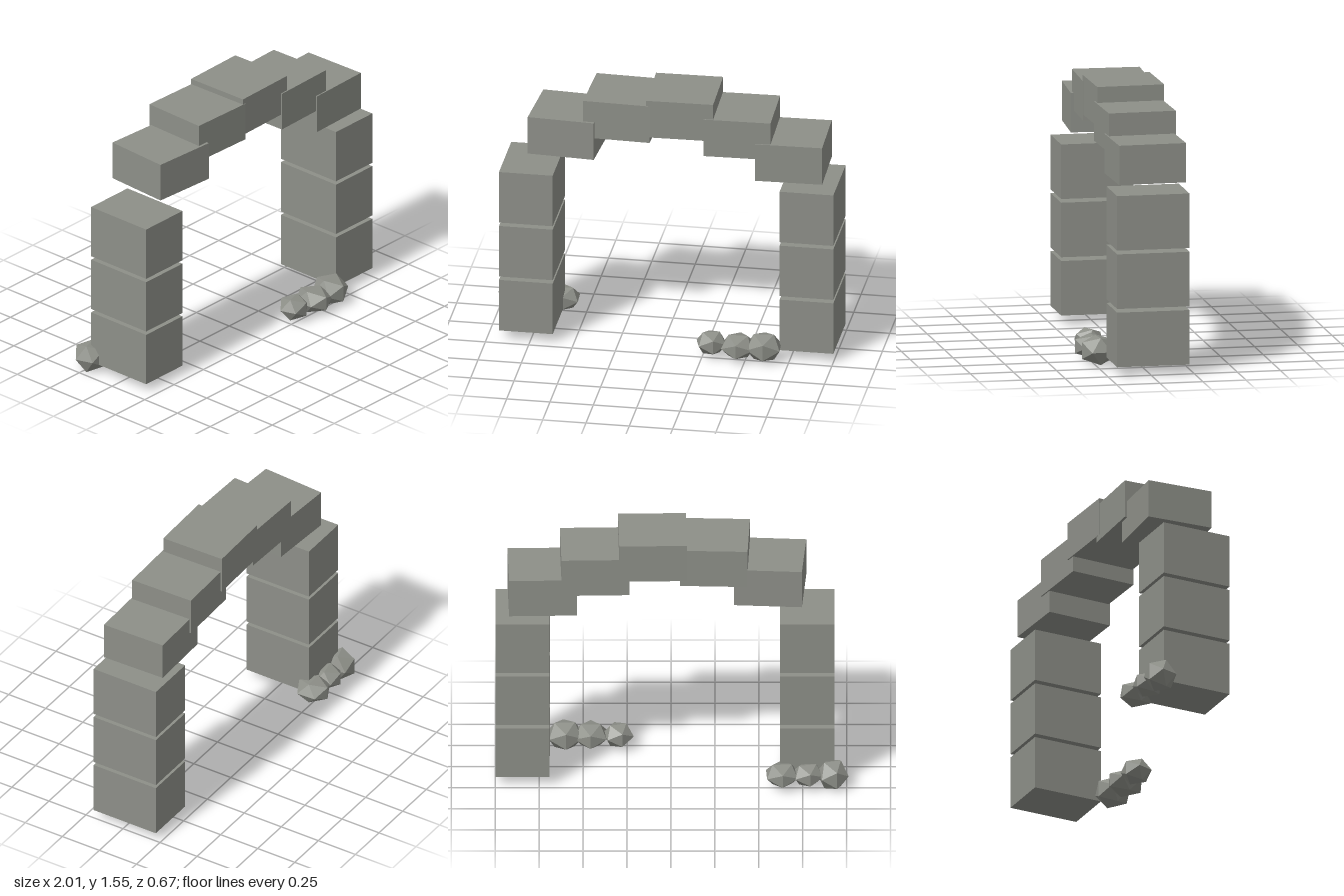
import * as THREE from 'three';

export function createModel() {
  const model = new THREE.Group();
  model.name = 'stoneArch';
  const stone = new THREE.MeshStandardMaterial({ color: 0x8d8f88, flatShading: true });
  stone.name = 'grey stone';

  const add = (parent, name, geometry, x, y, z, turn = 0) => {
    const mesh = new THREE.Mesh(geometry, stone);
    mesh.name = name;
    mesh.position.set(x, y, z);
    mesh.rotation.y = turn;
    parent.add(mesh);
    return mesh;
  };
  const group = (name) => {
    const g = new THREE.Group();
    g.name = name;
    model.add(g);
    return g;
  };

  // Two pillars of three separate blocks
  const pillarBlock = new THREE.BoxGeometry(0.31, 0.316, 0.42);
  for (const [name, x] of [['rightPillar', -0.775], ['leftPillar', 0.845]]) {
    const pillar = group(name);
    for (let i = 0; i < 3; i++) add(pillar, 'pillarBlock', pillarBlock, x, 0.217 + i * 0.3375, -0.012);
  }

  // Floating, slightly turned blocks that form the arch: x, y, turn
  const arch = group('arch');
  const archBlock = new THREE.BoxGeometry(0.386, 0.228, 0.39);
  for (const [x, y, turn] of [
    [-0.565, 1.277, -0.064],
    [-0.25, 1.405, -0.035],
    [0.105, 1.438, 0.02],
    [0.435, 1.346, 0.025],
    [0.733, 1.214, 0.025],
  ]) add(arch, 'archBlock', archBlock, x, y, -0.018, turn);

  // Rubble beside the pillar feet: x, y, z, half width, half height, half depth, turn
  const rock = new THREE.IcosahedronGeometry(1 / 0.8507, 0);
  const piles = {
    frontRubble: [
      [0.3, 0.09, 0.225, 0.078, 0.065, 0.078, 0.3],
      [0.457, 0.085, 0.235, 0.09, 0.065, 0.098, 0],
      [0.605, 0.0875, 0.23, 0.094, 0.0775, 0.094, 0.08],
    ],
    backRubble: [
      [-0.92, 0.0875, -0.24, 0.08, 0.0825, 0.085, 0.3],
      [-0.778, 0.09, -0.245, 0.08, 0.06, 0.08, 0.2],
      [-0.632, 0.09, -0.245, 0.088, 0.062, 0.092, 0.05],
    ],
  };
  for (const [name, rocks] of Object.entries(piles)) {
    const pile = group(name);
    for (const [x, y, z, w, h, d, turn] of rocks) add(pile, 'rock', rock, x, y, z, turn).scale.set(w, h, d);
  }

  return model;
}
